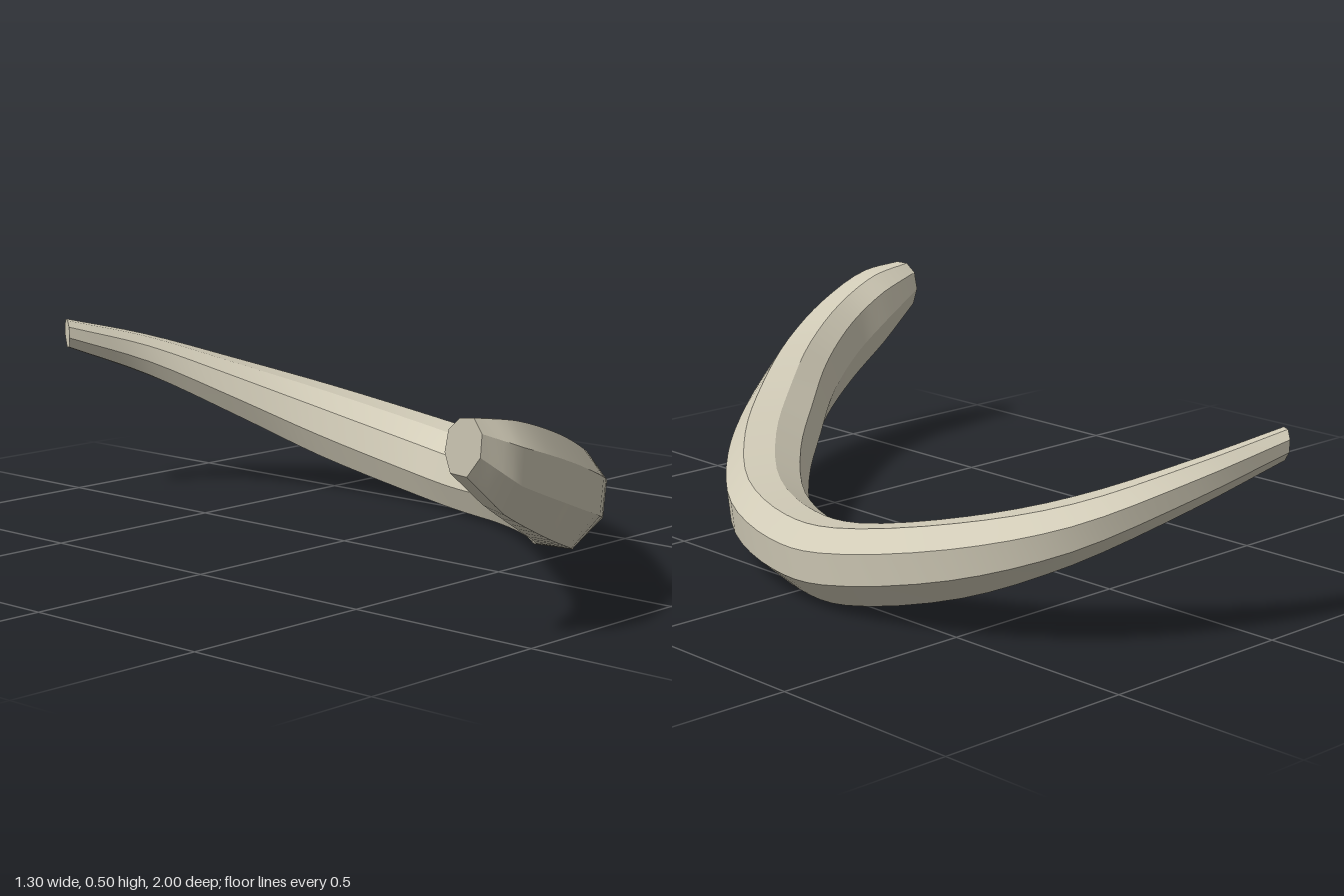
import * as THREE from 'three';
import { mergeGeometries } from 'three/addons/utils/BufferGeometryUtils.js';

// Stations along the rib: outer x, outer z, inner x, inner z, top y, bottom y
const STATIONS = [
  [-0.04, -1.00, -0.08, -0.935, 0.48, 0.405],
  [0.18, -0.925, 0.12, -0.835, 0.425, 0.315],
  [0.415, -0.775, 0.28, -0.65, 0.345, 0.195],
  [0.56, -0.54, 0.385, -0.46, 0.28, 0.095],
  [0.645, -0.20, 0.445, -0.20, 0.215, 0.02],
  [0.62, 0.01, 0.415, -0.02, 0.197, 0.004],
  [0.52, 0.28, 0.34, 0.18, 0.21, 0.01],
  [0.33, 0.53, 0.17, 0.40, 0.25, 0.04],
  [0.10, 0.74, -0.03, 0.59, 0.30, 0.08],
  [-0.12, 0.885, -0.22, 0.75, 0.365, 0.14],
  [-0.33, 0.965, -0.37, 0.825, 0.435, 0.205],
  [-0.53, 1.00, -0.51, 0.855, 0.49, 0.285],
  [-0.62, 0.96, -0.65, 0.885, 0.505, 0.38],
];

// Eight-sided section: u runs inner to outer, v runs bottom to top
const SECTION = [
  [0.40, 0.98], [0.78, 1], [1, 0.74], [0.96, 0.34],
  [0.60, 0], [0.15, 0.05], [0, 0.40], [0.10, 0.78],
];
const STEPS = 48;

function geometryFrom(points, index) {
  const g = new THREE.BufferGeometry().setFromPoints(points);
  g.setIndex(index);
  g.computeVertexNormals();
  return g;
}

export function createModel() {
  const outer = new THREE.CatmullRomCurve3(STATIONS.map(s => new THREE.Vector3(s[0], s[4], s[1])));
  const inner = new THREE.CatmullRomCurve3(STATIONS.map(s => new THREE.Vector3(s[2], s[5], s[3])));

  // Sweep the section along the two guide curves
  const rings = [];
  for (let i = 0; i <= STEPS; i++) {
    const o = outer.getPoint(i / STEPS), n = inner.getPoint(i / STEPS);
    rings.push(SECTION.map(([u, v]) => new THREE.Vector3(
      THREE.MathUtils.lerp(n.x, o.x, u),
      THREE.MathUtils.lerp(n.y, o.y, v),
      THREE.MathUtils.lerp(n.z, o.z, u))));
  }

  // One strip per side: smooth along the length, sharp between sides
  const parts = SECTION.map((_, k) => {
    const points = [], index = [];
    rings.forEach((ring, i) => {
      points.push(ring[k], ring[(k + 1) % SECTION.length]);
      if (i < STEPS) {
        const a = i * 2;
        index.push(a, a + 2, a + 1, a + 1, a + 2, a + 3);
      }
    });
    return geometryFrom(points, index);
  });

  // Flat caps close both tips
  const fan = [];
  for (let k = 1; k < SECTION.length - 1; k++) fan.push(0, k, k + 1);
  parts.push(geometryFrom(rings[0], fan));
  parts.push(geometryFrom([...rings[STEPS]].reverse(), fan));

  const rib = new THREE.Mesh(
    mergeGeometries(parts),
    new THREE.MeshStandardMaterial({ color: 0xd2ccb8 }));
  rib.name = 'curvedRib';

  const group = new THREE.Group();
  group.name = 'rib';
  group.add(rib);
  return group;
}
